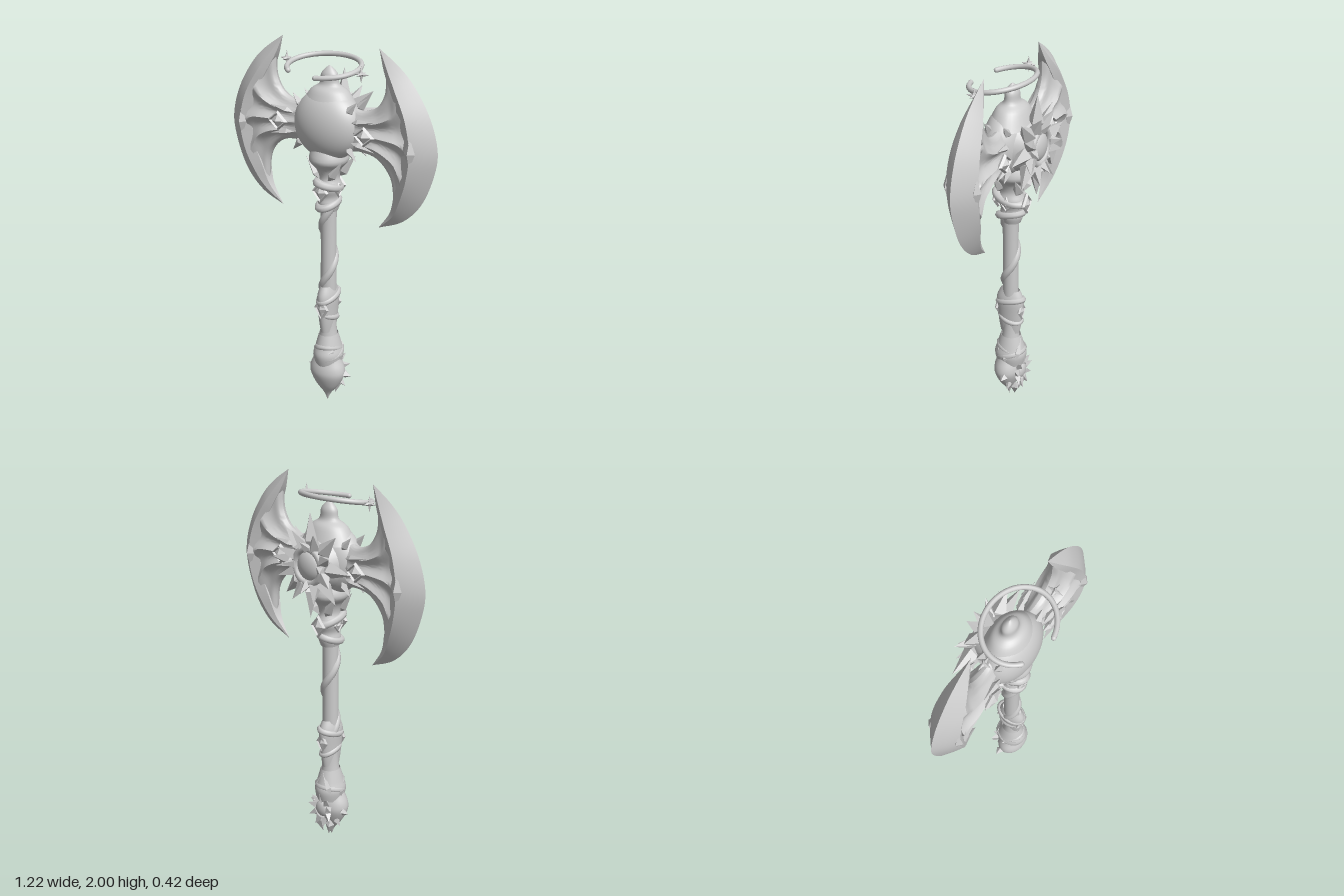
import * as THREE from 'three';
import { toCreasedNormals } from 'three/addons/utils/BufferGeometryUtils.js';

const V = (x, y, z = 0) => new THREE.Vector3(x, y, z);
const steel = new THREE.MeshStandardMaterial({ color: 0xcccccc, side: THREE.DoubleSide });
steel.name = 'pale grey steel';

export function createModel() {
  const root = new THREE.Group();
  root.name = 'battleAxe';

  function add(name, geo, parent = root, pos = [0, 0, 0], scale = [1, 1, 1], rot = [0, 0, 0]) {
    const m = new THREE.Mesh(geo, steel);
    m.name = name;
    m.position.set(...pos);
    m.scale.set(...scale);
    m.rotation.set(...rot);
    parent.add(m);
    return m;
  }
  // Surface from a rule f(u, v) -> Vector3
  function surface(f, nu, nv, crease) {
    const p = [], idx = [];
    for (let i = 0; i <= nu; i++)
      for (let j = 0; j <= nv; j++) p.push(...f(i / nu, j / nv).toArray());
    for (let i = 0; i < nu; i++)
      for (let j = 0; j < nv; j++) {
        const a = i * (nv + 1) + j, b = a + nv + 1;
        idx.push(a, b, a + 1, b, b + 1, a + 1);
      }
    const g = new THREE.BufferGeometry();
    g.setAttribute('position', new THREE.Float32BufferAttribute(p, 3));
    g.setIndex(idx);
    return toCreasedNormals(g, crease);
  }
  const lathe = (pts, seg = 32) => {
    const curve = new THREE.SplineCurve(pts.map(([r, y]) => new THREE.Vector2(r, y)));
    return new THREE.LatheGeometry(curve.getPoints(pts.length * 4).map(p => p.setX(Math.max(p.x, 0))), seg);
  };
  // Four-sided crystal from a base point to a tip; belly in the lower third
  function spike(name, from, to, r, parent = root) {
    const len = from.distanceTo(to);
    const g = new THREE.LatheGeometry([[0, 0], [r, len * 0.3], [0, len]].map(p => new THREE.Vector2(...p)), 4);
    const m = add(name, toCreasedNormals(g, 0.3), parent);
    m.position.copy(from);
    m.quaternion.setFromUnitVectors(V(0, 1, 0), to.clone().sub(from).normalize());
  }
  // Diamond stud in a square frame, facing along z
  function stud(name, x, y, z, s, parent = root, tall = 1, turn = 0) {
    const g = new THREE.Group();
    g.name = name;
    g.position.set(x, y, z);
    g.rotation.y = turn;
    g.scale.y = tall;
    parent.add(g);
    add('studFrame', toCreasedNormals(new THREE.TorusGeometry(s * 0.82, s * 0.2, 4, 4), 0.3), g);
    add('studGem', new THREE.OctahedronGeometry(s * 0.75), g, [0, 0, 0], [1, 1, 0.55]);
  }
  const wrap = (name, y, r, tube, tx, tz, sz = 1) =>
    add(name, new THREE.TorusGeometry(r, tube, 8, 28), root, [0, y, 0.01], [1, sz, 1], [Math.PI / 2 + tx, tz, 0]);

  // ---- Shaft with its climbing vine
  add('shaft', lathe([[0.068, 0.33], [0.05, 0.4], [0.042, 0.5], [0.042, 0.7], [0.041, 1.0], [0.045, 1.2], [0.05, 1.3]]), root, [0, 0, 0.01]);
  const vine = [];
  for (let i = 0; i <= 40; i++) {
    const y = 0.6 + i * 0.016, a = (2 * Math.PI * (y - 0.75)) / 0.35;
    vine.push(V(Math.sin(a) * 0.033, y, 0.01 + Math.cos(a) * 0.033));
  }
  add('vine', new THREE.TubeGeometry(new THREE.CatmullRomCurve3(vine), 120, 0.021, 10));

  // ---- Middle collar
  add('middleCollar', lathe([[0.042, 0.44], [0.05, 0.5], [0.056, 0.57], [0.06, 0.65], [0.042, 0.71]]), root, [0, 0, 0.013], [0.8, 1, 1.3]);
  wrap('middleWrap', 0.64, 0.042, 0.018, 0.25, 0.2, 1.5);
  wrap('middleWrap', 0.53, 0.038, 0.016, -0.3, -0.2, 1.4);
  stud('middleStud', 0, 0.59, 0.078, 0.045, root, 1.6);
  stud('middleStud', 0, 0.59, -0.055, 0.04, root, 1.5);

  // ---- Upper collar flaring into the head
  add('upperCollar', lathe([[0.044, 1.13], [0.056, 1.17], [0.052, 1.21], [0.066, 1.26], [0.052, 1.31], [0.065, 1.36], [0.1, 1.41], [0.08, 1.48]]), root, [0, 0, 0.004], [1, 1, 1.1]);
  wrap('upperWrap', 1.17, 0.048, 0.02, 0.25, 0.2, 1.25);
  wrap('upperWrap', 1.27, 0.052, 0.022, -0.25, -0.2, 1.4);
  for (const s of [1, -1]) {
    stud('collarStud', 0, 1.25, s > 0 ? 0.085 : -0.08, 0.05, root, 1.2);
    stud('collarStud', s * 0.058, 1.25, 0.005, 0.035, root, 1.2, Math.PI / 2);
    spike('collarClaw', V(s * 0.02, 1.3, 0.05), V(s * 0.11, 1.42, 0.05), 0.026);
    spike('collarClaw', V(s * 0.02, 1.3, -0.05), V(s * 0.11, 1.42, -0.07), 0.028);
  }

  // ---- Pommel bulb, collar and thorns
  add('pommel', lathe([[0, 0], [0.022, 0.05], [0.068, 0.11], [0.1, 0.175], [0.1, 0.22], [0.08, 0.27], [0.065, 0.31]]), root, [0, 0, 0.02], [1, 1, 0.75]);
  add('pommelCollar', lathe([[0.07, 0.24], [0.08, 0.3], [0.068, 0.35], [0.05, 0.42]]), root, [0, 0, 0.01], [1, 1, 1.12]);
  wrap('pommelWrap', 0.305, 0.064, 0.019, 0.3, 0, 1.1);
  wrap('pommelWrap', 0.33, 0.056, 0.018, -0.35, 0.15, 1.15);
  for (const s of [1, -1]) {
    spike('pommelThorn', V(s * 0.085, 0.185, 0), V(s * 0.14, 0.185, 0), 0.022);
    spike('pommelThorn', V(s * 0.055, 0.135, -0.01), V(s * 0.095, 0.1, -0.015), 0.018);
    spike('pommelThorn', V(s * 0.06, 0.28, 0.01), V(s * 0.095, 0.31, 0.01), 0.02);
    spike('pommelArch', V(s * 0.065, 0.29, 0.055), V(0, 0.415, 0.062), 0.02);
    spike('pommelArch', V(s * 0.06, 0.29, -0.05), V(0, 0.41, -0.05), 0.02);
    spike('pommelShard', V(s * 0.045, 0.13, -0.04), V(s * 0.02, 0.03, -0.025), 0.026);
  }
  add('pommelBoss', new THREE.SphereGeometry(0.045, 20, 14), root, [0, 0.19, -0.055], [1, 1, 0.5]);
  for (let i = 0; i < 9; i++) {
    const a = (i / 9) * Math.PI * 2, c = Math.sin(a), d = Math.cos(a);
    spike('pommelRay', V(c * 0.03, 0.19 + d * 0.035, -0.045), V(c * 0.085, 0.19 + d * 0.1, -0.08), 0.022);
  }

  // ---- Head: front dome and crown
  add('headDome', new THREE.SphereGeometry(1, 48, 32), root, [0, 1.59, 0.012], [0.19, 0.182, 0.118]);
  add('crown', lathe([[0.155, 1.68], [0.105, 1.758], [0.056, 1.793], [0.046, 1.84], [0.024, 1.868], [0, 1.885]]), root, [0, 0, 0], [1, 1, 0.72]);

  // ---- Sunburst on the back
  const sunY = 1.58;
  add('sunDisc', new THREE.CylinderGeometry(0.1, 0.14, 0.09, 32), root, [0, sunY, -0.105], [1, 1, 1], [-Math.PI / 2, 0, 0]);
  add('sunRing', new THREE.TorusGeometry(0.088, 0.018, 8, 36), root, [0, sunY, -0.15]);
  add('sunOrb', new THREE.SphereGeometry(0.075, 24, 16), root, [0, sunY, -0.14], [1, 1, 0.5]);
  for (let i = 0; i < 16; i++) {
    const a = (i / 16) * Math.PI * 2, c = Math.sin(a), d = Math.cos(a), long = i % 2 === 0;
    const r = long ? (i % 4 ? 0.24 : 0.268) : 0.19;
    spike(long ? 'longRay' : 'shortRay', V(c * 0.07, sunY + d * 0.07, -0.125),
      V(c * r, sunY + d * r, long ? -0.135 : -0.19), long ? 0.042 : 0.034);
    if (i % 4 === 0) spike('innerRay', V(c * 0.075, sunY + d * 0.075, -0.14), V(c * 0.13, sunY + d * 0.13, -0.208), 0.025);
  }

  // ---- One wing: crescent blade, ribbed web and studs; the other is turned round
  const curve = pts => new THREE.CatmullRomCurve3(pts.map(p => V(...p)));
  const outer = curve([[0.28, 2.0], [0.385, 1.93], [0.465, 1.855], [0.565, 1.7], [0.611, 1.54], [0.595, 1.42], [0.53, 1.26], [0.43, 1.155], [0.295, 1.095]]);
  const inner = curve([[0.28, 2.0], [0.318, 1.9], [0.37, 1.8], [0.425, 1.68], [0.447, 1.54], [0.43, 1.4], [0.4, 1.3], [0.37, 1.2], [0.295, 1.095]]);
  const blade = (u, v) => {
    const o = outer.getPoint(u), n = inner.getPoint(u), t = Math.pow(Math.sin(Math.PI * u), 1.1);
    // cross-section: edge, ridge, shoulder, both sides
    const section = [[0, 0], [0.35, 0.05], [0.66, 0.085], [1, 0.055], [1, -0.055], [0.66, -0.085], [0.35, -0.05], [0, 0]];
    const [k, z] = section[Math.round(v * 7)];
    return o.lerp(n, k).setZ(z * t);
  };
  const topEdge = curve([[0.1, 1.71], [0.2, 1.685], [0.275, 1.715], [0.32, 1.79], [0.325, 1.9]]);
  const lowEdge = curve([[0.1, 1.46], [0.2, 1.475], [0.29, 1.455], [0.365, 1.37], [0.385, 1.22]]);
  const web = side => (u, v) => {
    const p = lowEdge.getPoint(u).lerp(topEdge.getPoint(u), v), arch = Math.sin(Math.PI * v);
    p.x += 0.115 * u * u * arch;
    // thin under the dome, thickest at the stud, easing toward the blade
    const depth = 0.035 + 0.05 * Math.sin(Math.PI * Math.min(1, u * 1.25) * 0.62) / 0.93;
    const rib = 1 - 0.35 * Math.min(1, u * 2) * Math.abs(Math.sin(4 * Math.PI * v));
    p.z = side * depth * Math.sqrt(Math.max(arch, 0)) * rib;
    return p;
  };
  for (const s of [1, -1]) {
    const wing = new THREE.Group();
    wing.name = s > 0 ? 'leftWing' : 'rightWing';
    wing.rotation.y = s > 0 ? 0 : Math.PI;
    root.add(wing);
    add('crescentBlade', surface(blade, 48, 7, 0.7), wing);
    for (const f of [1, -1]) {
      add('ribbedWeb', surface(web(f), 20, 48, 1.2), wing);
      stud('wingStud', 0.255, 1.585, f * 0.09, 0.06, wing, 0.85);
      add('ridgePoint', new THREE.OctahedronGeometry(1), wing, [0.5, 1.54, f * 0.075], [0.03, 0.08, 0.025]);
      for (const d of [1, -1]) {
        spike('hubClaw', V(0.13, 1.585 + d * 0.08, f * 0.05), V(0.19, 1.585 + d * 0.15, f * 0.05), 0.022, wing);
        spike('webClaw', V(0.17, 1.585 + d * 0.05, f * 0.07), V(0.31, 1.585 + d * 0.075, f * 0.078), 0.018, wing);
      }
    }
  }

  // ---- Open halo ring with two small stars
  const halo = [];
  for (let i = 0; i <= 30; i++) {
    const a = THREE.MathUtils.degToRad(15 + i * 10);
    const z = 0.05 + Math.cos(a) * 0.155;
    halo.push(V(Math.sin(a) * 0.192, 1.9 - z * 0.17, z));
  }
  add('halo', new THREE.TubeGeometry(new THREE.CatmullRomCurve3(halo), 90, 0.013, 10));
  for (const end of [halo[0], halo[30]]) add('haloEnd', new THREE.SphereGeometry(0.013, 10, 8), root, end.toArray());
  for (const [x, y, z] of [[0.232, 1.885, 0.08], [-0.235, 1.895, 0.03]])
    for (const long of [0, 1, 2])
      add('haloStarPoint', new THREE.OctahedronGeometry(1), root, [x, y, z], [0, 1, 2].map(k => (k === long ? 0.042 : 0.012)));

  return root;
}
